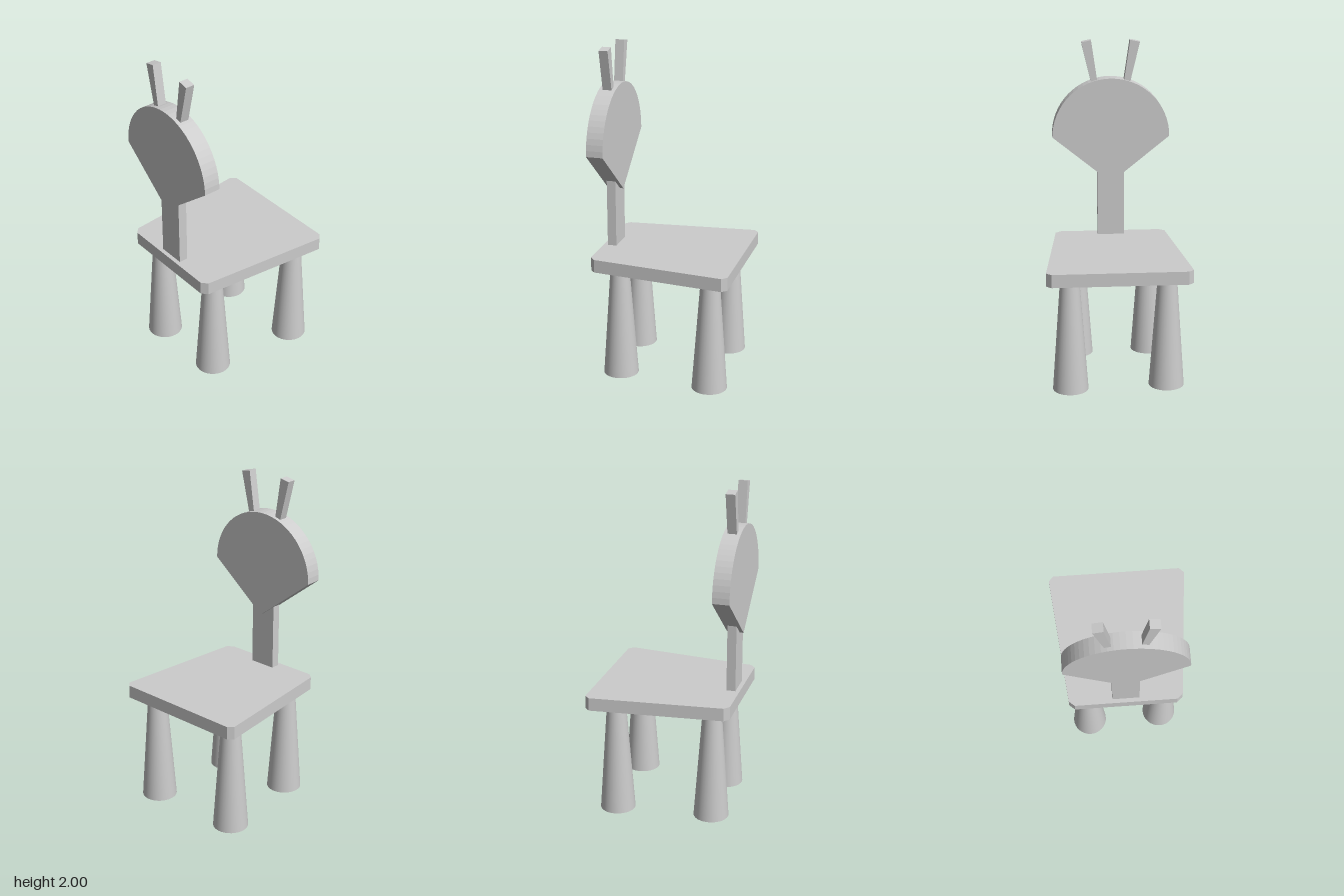
import * as THREE from 'three';

export function createModel() {
  const model = new THREE.Group();
  const grey = new THREE.MeshStandardMaterial({ color: 0xcccccc });
  grey.name = 'lightGrey';

  const add = (geometry, name) => {
    const mesh = new THREE.Mesh(geometry, grey);
    mesh.name = name;
    model.add(mesh);
    return mesh;
  };
  const polygon = (points) => new THREE.Shape(points.map(([a, b]) => new THREE.Vector2(a, b)));
  // Plate drawn in the z-y plane, spanning x0 to x1
  const sidePlate = (shape, x0, x1, curveSegments = 16) =>
    new THREE.ExtrudeGeometry(shape, { depth: x1 - x0, bevelEnabled: false, curveSegments })
      .rotateY(Math.PI / 2)
      .translate(x0, 0, 0);

  // Seat: tapered board with clipped corners
  const half = [[-0.43, 0.315], [-0.4, 0.35], [0.4, 0.43], [0.43, 0.4]];
  const outline = [...half, ...half.map(([x, z]) => [x, -z]).reverse()];
  add(
    new THREE.ExtrudeGeometry(polygon(outline), { depth: 0.08, bevelEnabled: false })
      .rotateX(-Math.PI / 2)
      .translate(0, 0.685, 0),
    'seat'
  );

  // Legs: tapered round posts
  const legs = {
    frontLeftLeg: [0.3, 0.29],
    frontRightLeg: [-0.277, 0.232],
    backLeftLeg: [0.275, -0.29],
    backRightLeg: [-0.303, -0.232],
  };
  const legGeometry = new THREE.CylinderGeometry(0.057, 0.107, 0.69, 32);
  for (const [name, [x, z]] of Object.entries(legs)) {
    add(legGeometry, name).position.set(x, 0.345, z);
  }

  // Post carrying the backrest
  add(new THREE.BoxGeometry(0.055, 0.56, 0.166), 'backPost').position.set(-0.377, 1.02, 0);

  // Backrest: half disc above a downward point
  const back = new THREE.Shape();
  back.moveTo(0, 1.11);
  back.lineTo(0.364, 1.403);
  back.absarc(0, 1.403, 0.364, 0, Math.PI, false);
  back.closePath();
  add(sidePlate(back, -0.428, -0.327), 'backrest');

  // Pair of flared prongs on top
  for (const side of [1, -1]) {
    const prong = polygon([[0.0755, 1.7], [0.111, 1.7], [0.18, 1.988], [0.12, 2]].map(([z, y]) => [-side * z, y]));
    add(sidePlate(prong, -0.405, -0.35), side > 0 ? 'frontProng' : 'backProng');
  }

  return model;
}
